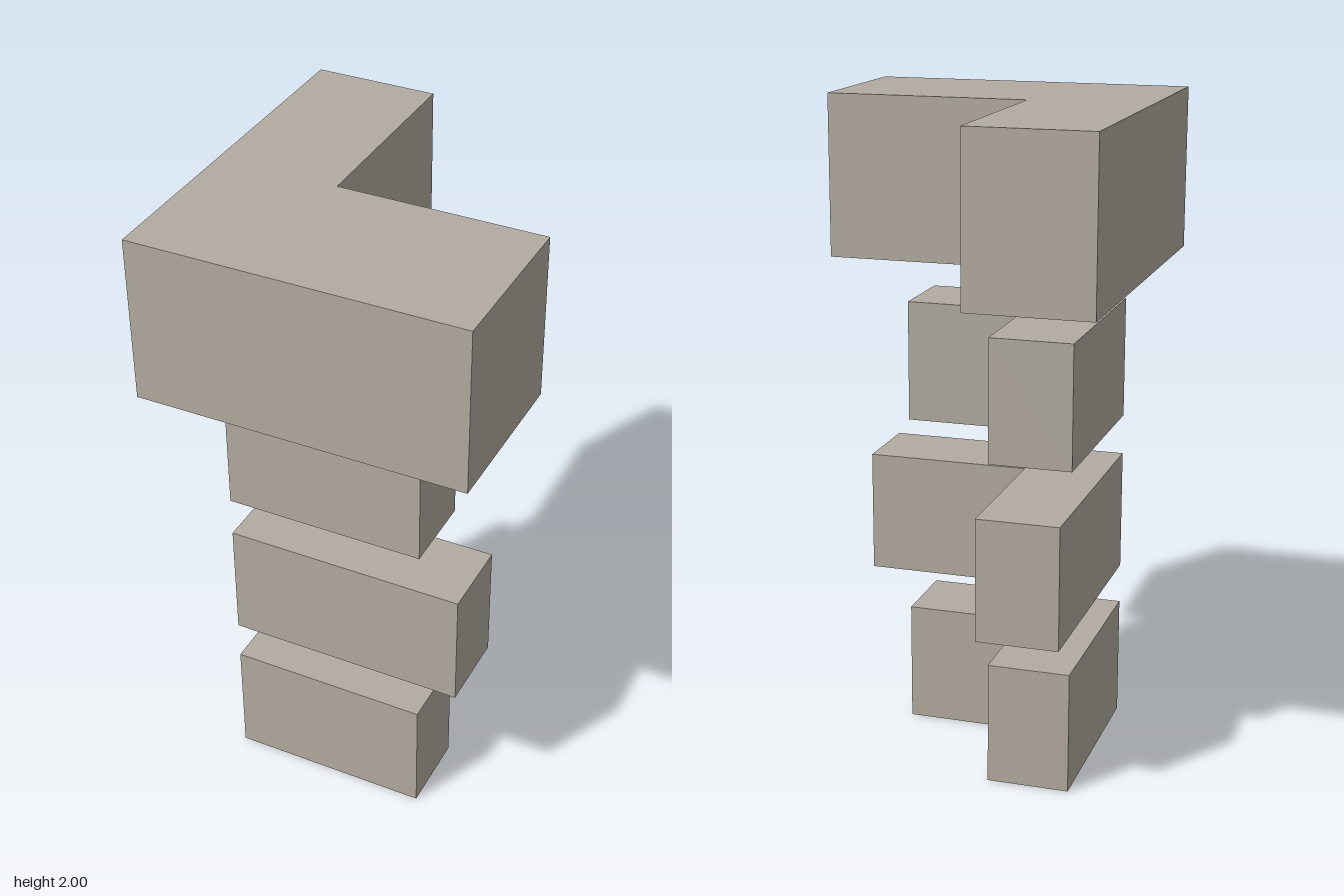
import * as THREE from 'three';

const stone = new THREE.MeshStandardMaterial({ color: 0xb2aba0 });
stone.name = 'warm grey stone';

// Inner corner shared by every L-shaped block
const INNER_X = -0.125, INNER_Z = 0.0625;

// L-shaped block: outer corner at (left, front), arms reaching to right and back
function lBlock(name, { left, right, front, back, bottom, height }) {
  const outline = [
    [left, front], [right, front], [right, INNER_Z],
    [INNER_X, INNER_Z], [INNER_X, back], [left, back],
  ].map(([x, z]) => new THREE.Vector2(x, -z));
  const geometry = new THREE.ExtrudeGeometry(new THREE.Shape(outline), {
    depth: height, bevelEnabled: false,
  });
  geometry.rotateX(-Math.PI / 2);
  geometry.translate(0, bottom, 0);
  const mesh = new THREE.Mesh(geometry, stone);
  mesh.name = name;
  return mesh;
}

export function createModel() {
  const model = new THREE.Group();
  model.name = 'cornerBlockStack';

  // Three slim blocks, the middle one with longer arms
  const slim = { left: -0.375, front: 0.3125, height: 0.375 };
  const short = { ...slim, right: 0.25, back: -0.3125 };
  const long = { ...slim, right: 0.375, back: -0.4375 };
  model.add(
    lBlock('bottomBlock', { ...short, bottom: 0 }),
    lBlock('lowerMiddleBlock', { ...long, bottom: 0.5 }),
    lBlock('upperMiddleBlock', { ...short, bottom: 1 }),
  );

  // Large cap block
  model.add(lBlock('topBlock', {
    left: -0.5, right: 0.5, front: 0.5625, back: -0.5625, bottom: 1.5, height: 0.5,
  }));
  return model;
}
